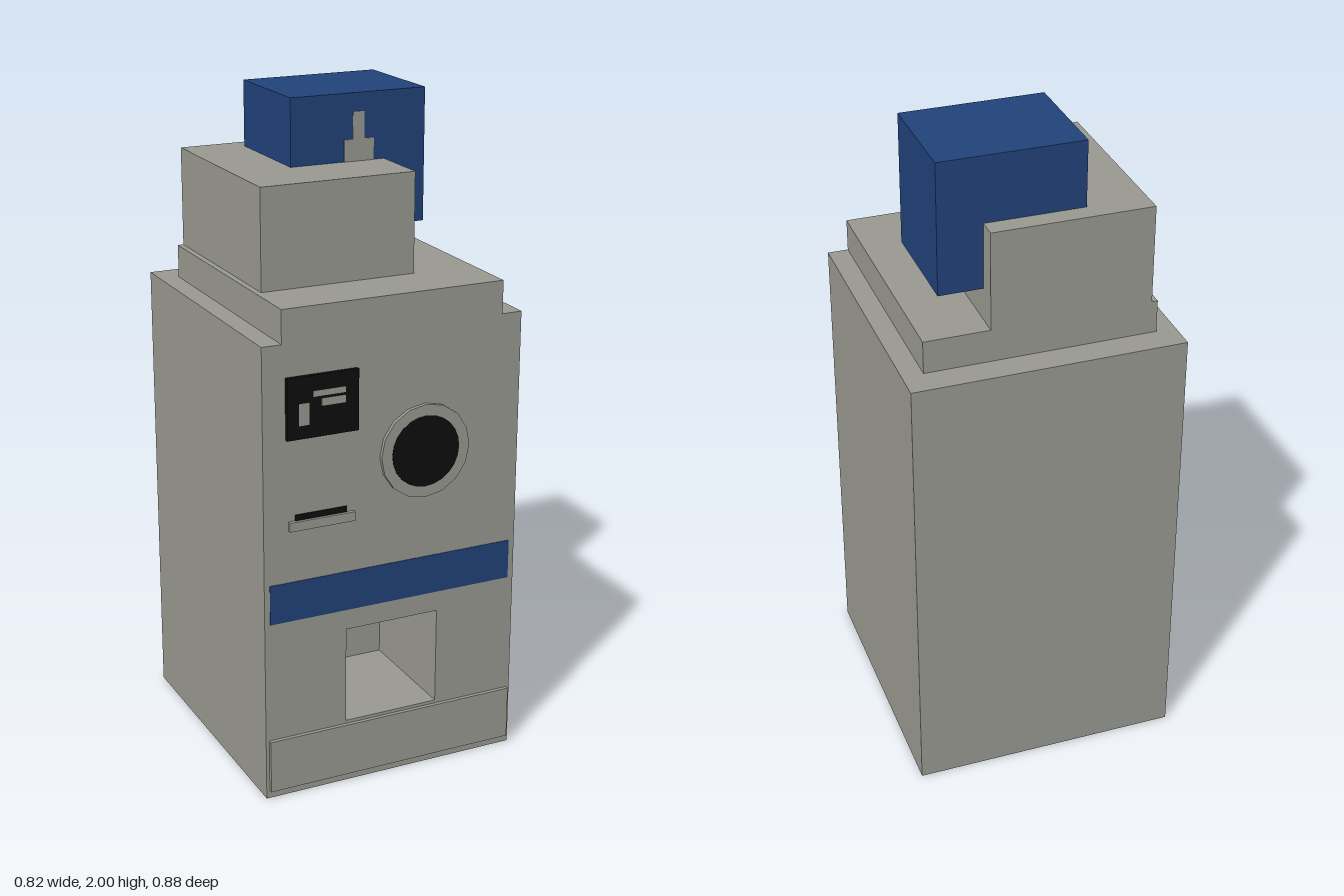
import * as THREE from 'three';

export function createModel() {
  const root = new THREE.Group();
  // The cabinet is an open-bottomed shell, so its grey shows on both sides
  const grey = new THREE.MeshStandardMaterial({ color: 0x999991, side: THREE.DoubleSide });
  const blue = new THREE.MeshStandardMaterial({ color: 0x21427a });
  const black = new THREE.MeshStandardMaterial({ color: 0x0d0d0d });
  grey.name = 'panel grey';
  blue.name = 'deep blue';
  black.name = 'black';

  const add = (name, geometry, material, parent = root) => {
    const mesh = new THREE.Mesh(geometry, material);
    mesh.name = name;
    parent.add(mesh);
    return mesh;
  };
  // Box given by its limits on each axis
  const box = (name, [x0, x1], [y0, y1], [z0, z1], material, parent) => {
    const g = new THREE.BoxGeometry(x1 - x0, y1 - y0, z1 - z0);
    g.translate((x0 + x1) / 2, (y0 + y1) / 2, (z0 + z1) / 2);
    return add(name, g, material, parent);
  };
  // Flat panels: across x, across z, and level
  const panelX = (name, x, [y0, y1], [z0, z1], parent) =>
    add(name, new THREE.PlaneGeometry(z1 - z0, y1 - y0).rotateY(x < 0 ? -Math.PI / 2 : Math.PI / 2)
      .translate(x, (y0 + y1) / 2, (z0 + z1) / 2), grey, parent);
  const panelY = (name, y, [x0, x1], [z0, z1], parent) =>
    add(name, new THREE.PlaneGeometry(x1 - x0, z1 - z0).rotateX(-Math.PI / 2)
      .translate((x0 + x1) / 2, y, (z0 + z1) / 2), grey, parent);
  const panelZ = (name, z, [x0, x1], [y0, y1], parent) =>
    add(name, new THREE.PlaneGeometry(x1 - x0, y1 - y0).rotateY(z < 0 ? Math.PI : 0)
      .translate((x0 + x1) / 2, (y0 + y1) / 2, z), grey, parent);

  const W = 0.41, H = 1.4, F = 0.425, B = -0.437, P = 0.437;

  // Cabinet shell, open below, with the chute opening cut in the front
  const cabinet = new THREE.Group();
  cabinet.name = 'cabinet';
  root.add(cabinet);
  const rect = (Type, x0, x1, y0, y1) => new Type([
    new THREE.Vector2(x0, y0), new THREE.Vector2(x1, y0),
    new THREE.Vector2(x1, y1), new THREE.Vector2(x0, y1)]);
  const face = rect(THREE.Shape, -W, W, 0, H);
  face.holes.push(rect(THREE.Path, -0.15, 0.15, 0.2, 0.5));
  add('frontWall', new THREE.ShapeGeometry(face).translate(0, 0, F), grey, cabinet);
  panelZ('backWall', B, [-W, W], [0, H], cabinet);
  panelY('cabinetTop', H, [-W, W], [B, F], cabinet);

  // Outer sides and the inner partitions beside the chute
  for (const s of [-1, 1]) {
    panelX('sideWall', s * W, [0, H], [B, F], cabinet);
    panelX('partition', s * 0.15, [0, 0.5], [B, F], cabinet);
  }
  panelY('chuteFloor', 0.2, [-0.15, 0.15], [B, F], cabinet);
  panelY('chuteCeiling', 0.5, [-0.15, 0.15], [B, F], cabinet);
  panelZ('chuteBack', 0.05, [-0.15, 0.15], [0.2, 0.5], cabinet);

  // Stepped top and the blue head box
  box('topStep', [-0.35, 0.347], [H, 1.5], [-0.35, F], grey);
  box('upperBlock', [-0.332, 0.15], [1.5, 1.8], [-0.35, 0.248], grey);
  box('headBox', [-0.15, 0.283], [1.6, 2], [-0.29, 0.05], blue);

  // Small stepped emblem on the head box
  box('emblemBase', [0.02, 0.115], [1.8, 1.865], [0.05, 0.053], grey);
  box('emblemSpire', [0.048, 0.085], [1.865, 1.945], [0.05, 0.053], grey);

  // Front fittings
  box('kickPlate', [-0.4, 0.4], [0.025, 0.19], [F, P], grey);
  box('stripe', [-0.393, 0.392], [0.563, 0.685], [F, F + 0.002], blue);
  box('display', [-0.34, -0.118], [1.12, 1.303], [F, P], black);
  const marks = [
    [[-0.304, -0.272], [1.16, 1.225]],
    [[-0.26, -0.16], [1.24, 1.257]],
    [[-0.234, -0.16], [1.21, 1.232]],
  ];
  for (const [x, y] of marks) box('displayMark', x, y, [P, P + 0.001], grey);
  box('tray', [-0.333, -0.128], [0.845, 0.873], [F, P], grey);
  box('slot', [-0.312, -0.15], [0.873, 0.891], [F, F + 0.003], black);

  // Round port with a dark centre
  const disc = (name, r, z0, z1, sides, material) => add(name,
    new THREE.CylinderGeometry(r, r, z1 - z0, sides).rotateX(Math.PI / 2)
      .translate(0.098, 1.022, (z0 + z1) / 2), material);
  disc('portRim', 0.143, F, P, 16, grey);
  disc('portCentre', 0.109, P, P + 0.001, 24, black);

  return root;
}
